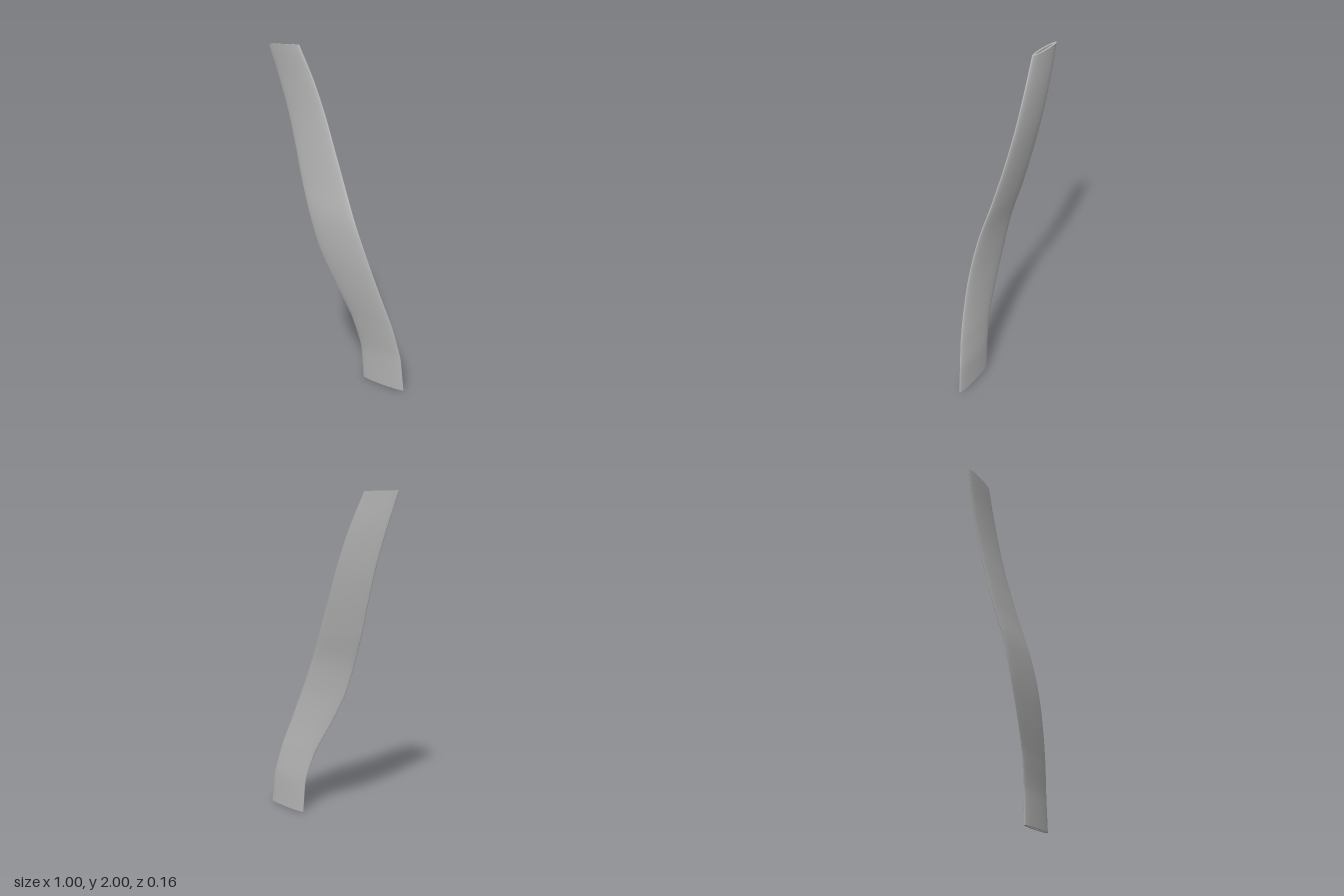
import * as THREE from 'three';

// Stations up the blade, every 0.2 in y: [left edge x, right edge x, centre z]
const STATIONS = [
  [0.205, 0.495, 0.013], [0.19, 0.472, 0.017], [0.13, 0.42, 0.034], [0.02, 0.343, 0.05],
  [-0.085, 0.262, 0.055], [-0.162, 0.175, 0.043], [-0.238, 0.085, 0.008], [-0.3, 0.0, -0.022],
  [-0.362, -0.08, -0.044], [-0.43, -0.165, -0.053], [-0.5, -0.263, -0.05],
];
const ROWS = 80, SIDES = 64, TILT = 0.11;
const curve = new THREE.CatmullRomCurve3(STATIONS.map((s) => new THREE.Vector3(...s)));

// One point on the flat oval section; inset and half thickness set which wall it is on
function ovalPoint(v, u, inset, halfThick) {
  const s = curve.getPoint(v);
  const a = u * Math.PI * 2;
  const dx = ((s.y - s.x) / 2 - inset) * Math.cos(a);
  return [(s.x + s.y) / 2 + dx, v * 2, s.z + dx * TILT + halfThick * Math.sin(a)];
}

// Skin a grid of points, (rows + 1) by (SIDES + 1), wrapping round the section
function skin(rows, pointAt, flip) {
  const pos = [], index = [];
  for (let r = 0; r <= rows; r++) {
    for (let i = 0; i <= SIDES; i++) pos.push(...pointAt(r / rows, i / SIDES));
  }
  for (let r = 0; r < rows; r++) {
    for (let i = 0; i < SIDES; i++) {
      const a = r * (SIDES + 1) + i, b = a + 1, c = a + SIDES + 1, d = c + 1;
      if (flip) index.push(a, b, c, b, d, c);
      else index.push(a, c, b, b, c, d);
    }
  }
  const g = new THREE.BufferGeometry();
  g.setAttribute('position', new THREE.Float32BufferAttribute(pos, 3));
  g.setIndex(index);
  g.computeVertexNormals();
  // Average the normals across the seam
  const n = g.attributes.normal, v = new THREE.Vector3(), w = new THREE.Vector3();
  for (let r = 0; r <= rows; r++) {
    const a = r * (SIDES + 1), b = a + SIDES;
    v.fromBufferAttribute(n, a).add(w.fromBufferAttribute(n, b)).normalize();
    n.setXYZ(a, v.x, v.y, v.z);
    n.setXYZ(b, v.x, v.y, v.z);
  }
  return g;
}

export function createModel() {
  const group = new THREE.Group();
  group.name = 'curvedHollowBlade';
  const grey = new THREE.MeshStandardMaterial({ color: 0xb2b2b2 });
  grey.name = 'grey';

  const outer = (v, u) => ovalPoint(v, u, 0, 0.018);
  const inner = (v, u) => ovalPoint(v, u, 0.034, 0.007);
  const add = (name, geometry) => {
    const mesh = new THREE.Mesh(geometry, grey);
    mesh.name = name;
    group.add(mesh);
  };

  // Outer shell and the slot running through it
  add('outerShell', skin(ROWS, outer, false));
  add('innerSlot', skin(ROWS, inner, true));

  // Flat rims joining the two walls at each end
  const rim = (v) => (t, u) => (t === 0 ? outer(v, u) : inner(v, u));
  add('topRim', skin(1, rim(1), false));
  add('bottomRim', skin(1, rim(0), true));
  return group;
}
